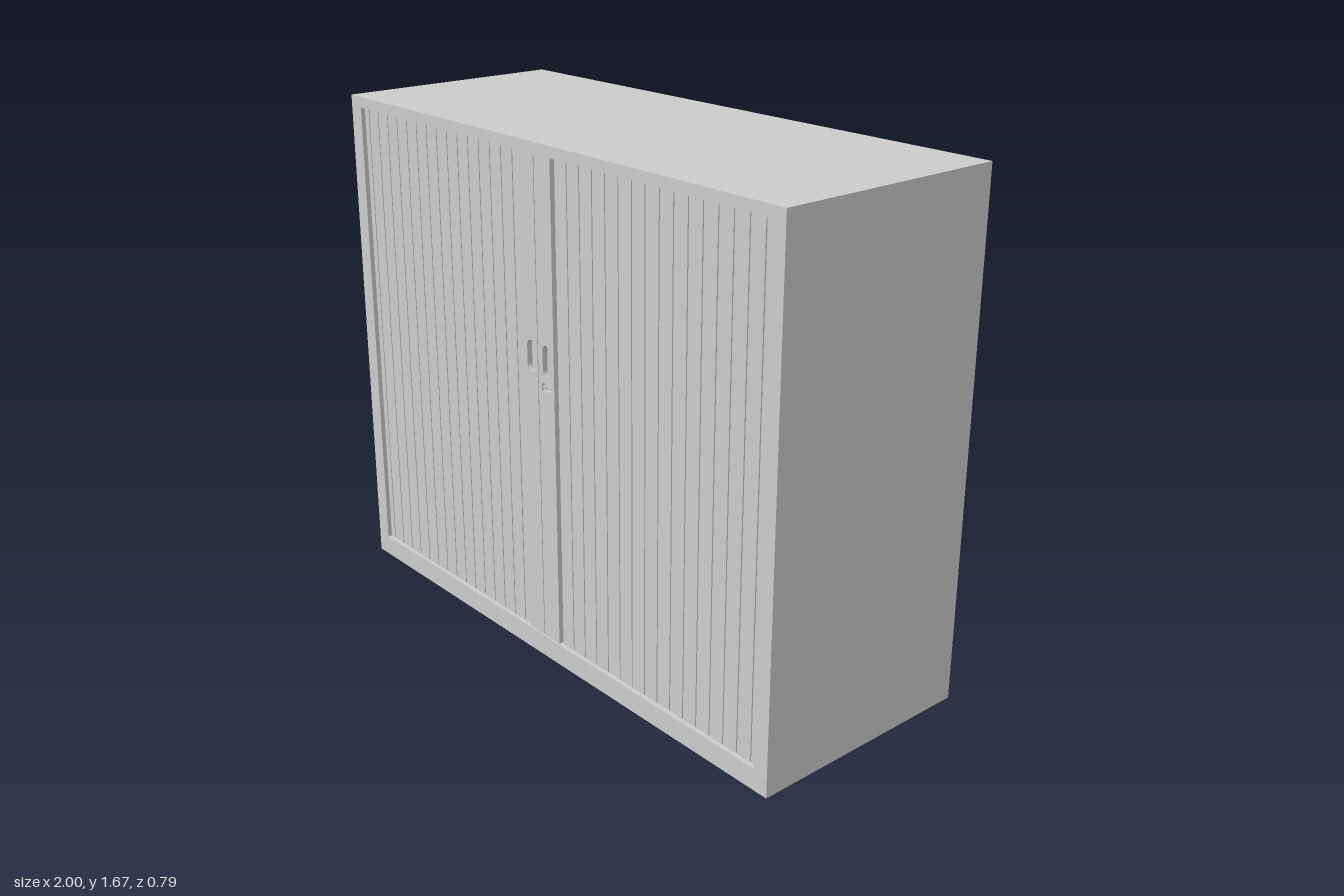
import * as THREE from 'three';

const W = 2, H = 1.67, D = 0.788, FRONT = D / 2;
const LEFT = -0.945, RIGHT = 0.945, BOTTOM = 0.07, TOP = 1.635;   // front opening
const BACKING = 0.362, SLAT_FRONT = 0.379, STRIP_FRONT = 0.392;   // depths (z)
const PITCH = 0.0566, GAP = 0.004;

const grey = new THREE.MeshStandardMaterial({ color: 0xcccccc });
const greyInside = new THREE.MeshStandardMaterial({ color: 0xcccccc, side: THREE.BackSide });

function add(parent, name, geometry, material = grey) {
  const mesh = new THREE.Mesh(geometry, material);
  mesh.name = name;
  parent.add(mesh);
  return mesh;
}

// Box between two corners
function block(x0, x1, y0, y1, z0, z1) {
  return new THREE.BoxGeometry(x1 - x0, y1 - y0, z1 - z0)
    .translate((x0 + x1) / 2, (y0 + y1) / 2, (z0 + z1) / 2);
}

// Same box without its front (+z) face
function openBlock(...corners) {
  const geometry = block(...corners);
  const index = Array.from(geometry.index.array);
  index.splice(24, 6);
  geometry.setIndex(index);
  geometry.clearGroups();
  return geometry;
}

function outline(points, Type = THREE.Shape) {
  return new Type(points.map(([x, y]) => new THREE.Vector2(x, y)));
}

const rect = (x0, x1, y0, y1) => [[x0, y0], [x1, y0], [x1, y1], [x0, y1]];

// Upright slot with round ends
function slot(cx, cy, w, h) {
  const r = w / 2, d = h / 2 - r;
  const path = new THREE.Path();
  path.absarc(cx, cy + d, r, 0, Math.PI);
  path.absarc(cx, cy - d, r, Math.PI, Math.PI * 2);
  path.closePath();
  return path;
}

// One shutter: narrow vertical slats, clipped to the opening
function shutter(name, x0, x1, seam) {
  const group = new THREE.Group();
  group.name = name;
  const first = seam - Math.ceil((seam - x0) / PITCH) * PITCH;
  for (let x = first; x < x1; x += PITCH) {
    const a = Math.max(x + GAP / 2, x0), b = Math.min(x + PITCH - GAP / 2, x1);
    if (b - a > 0.003) add(group, 'slat', block(a, b, BOTTOM, TOP, BACKING, SLAT_FRONT));
  }
  return group;
}

// Leading strip of a shutter, pierced by its recessed pull
function handleStrip(name, x0, x1, holes) {
  const group = new THREE.Group();
  group.name = name;
  const shape = outline(rect(x0, x1, BOTTOM + 0.004, TOP));
  shape.holes.push(...holes);
  const geometry = new THREE.ExtrudeGeometry(shape, {
    depth: STRIP_FRONT - BACKING, bevelEnabled: false, curveSegments: 10,
  });
  add(group, 'strip', geometry.translate(0, 0, BACKING));
  for (const hole of holes) {
    const floor = new THREE.ShapeGeometry(new THREE.Shape(hole.getPoints(10)));
    add(group, 'recessFloor', floor.translate(0, 0, STRIP_FRONT - 0.018));
  }
  return group;
}

export function createModel() {
  const model = new THREE.Group();
  model.name = 'shutterCabinet';

  // Carcass, front frame and the shallow recess behind it
  add(model, 'carcass', openBlock(-W / 2, W / 2, 0, H, -FRONT, FRONT));
  const face = outline(rect(-W / 2, W / 2, 0, H));
  face.holes.push(outline(rect(LEFT, RIGHT, BOTTOM, TOP), THREE.Path));
  add(model, 'frontFrame', new THREE.ShapeGeometry(face).translate(0, 0, FRONT));
  add(model, 'openingRecess', openBlock(LEFT, RIGHT, BOTTOM, TOP, BACKING, FRONT), greyInside);

  // Sliding shutters
  model.add(shutter('rightShutter', LEFT, -0.08, -0.92));
  model.add(shutter('leftShutter', 0.07, RIGHT, 0.185));

  // Meeting strips with pulls; the left one also holds the lock
  const lockHole = outline([[0.01, 0.918], [0.038, 0.918], [0.058, 0.925],
    [0.058, 0.936], [0.038, 0.943], [0.01, 0.943]], THREE.Path);
  model.add(handleStrip('rightHandleStrip', -0.08, -0.009, [slot(-0.04, 1.015, 0.04, 0.1)]));
  model.add(handleStrip('leftHandleStrip', -0.006, 0.07,
    [slot(0.033, 1.015, 0.034, 0.1), lockHole]));

  // Lock barrel and its small lever
  const barrel = new THREE.CylinderGeometry(0.008, 0.008, 0.016, 16).rotateX(Math.PI / 2);
  add(model, 'lockBarrel', barrel).position.set(0.022, 0.9305, 0.383);
  add(model, 'lockLever', block(0.022, 0.052, 0.927, 0.934, 0.374, 0.388));

  return model;
}
